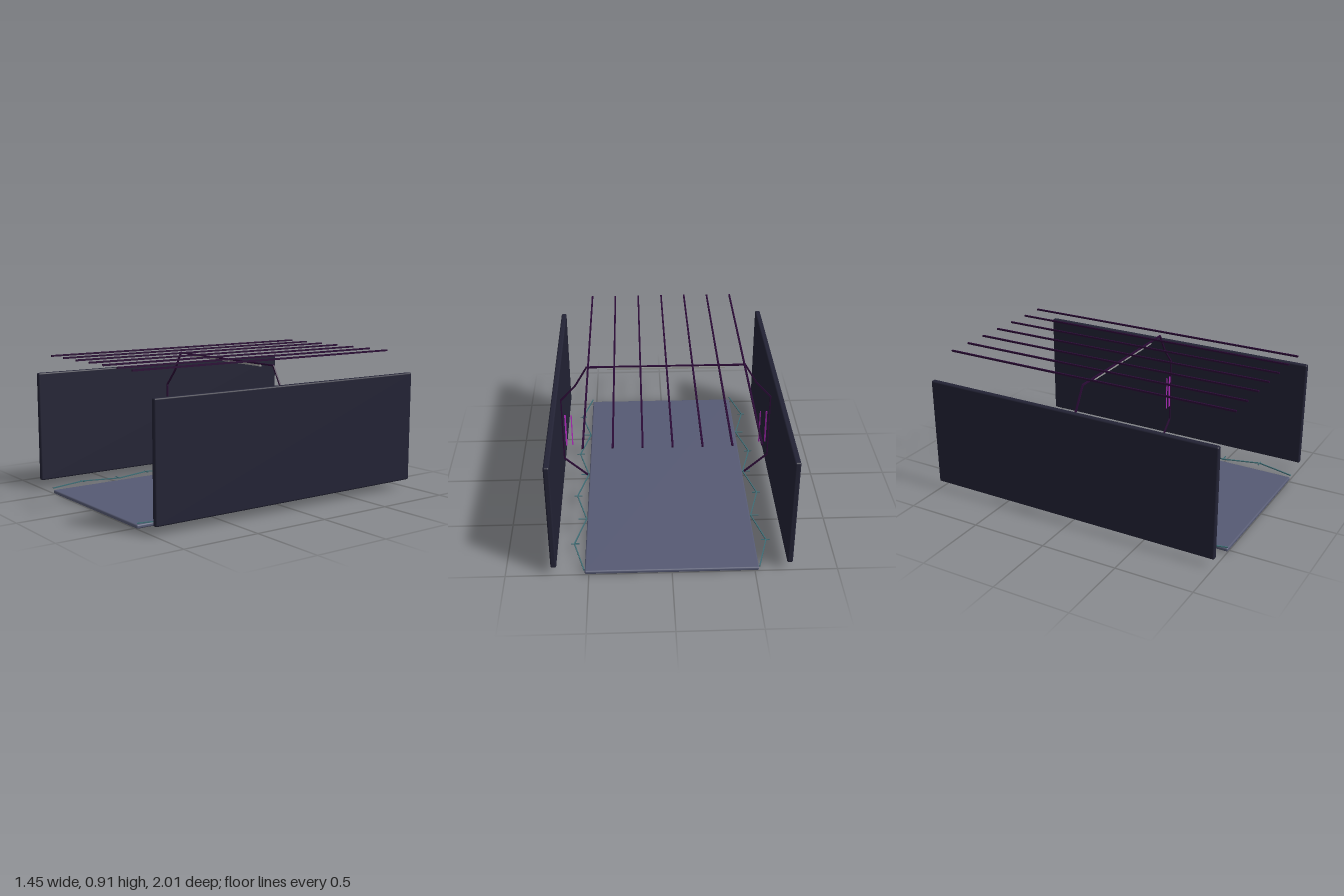
import * as THREE from 'three';
import { RoundedBoxGeometry } from 'three/addons/geometries/RoundedBoxGeometry.js';

const mat = (name, color) => {
  const m = new THREE.MeshStandardMaterial({ color });
  m.name = name;
  return m;
};

export function createModel() {
  const wallMat = mat('dark navy', 0x222234);
  const floorMat = mat('slate', 0x565a73);
  const frameMat = mat('deep purple', 0x2a0a35);
  const stripMat = mat('magenta', 0xa828b4);
  const lampMat = mat('lamp grey', 0x9a9c9a);
  const edgeMat = mat('teal', 0x3f6c74);

  const model = new THREE.Group();
  model.name = 'corridor';

  const add = (parent, name, geometry, material, x = 0, y = 0, z = 0) => {
    const mesh = new THREE.Mesh(geometry, material);
    mesh.name = name;
    mesh.position.set(x, y, z);
    parent.add(mesh);
    return mesh;
  };

  // Square bar running between two points
  const bar = (parent, name, a, b, t, material) => {
    const p = new THREE.Vector3(...a), q = new THREE.Vector3(...b);
    const mesh = add(parent, name, new THREE.BoxGeometry(t, t, p.distanceTo(q) + t * 0.5), material);
    mesh.position.copy(p).lerp(q, 0.5);
    mesh.lookAt(q);
    return mesh;
  };

  // Floor slab and the seven overhead rails
  add(model, 'floor', new RoundedBoxGeometry(1.05, 0.024, 2, 3, 0.009), floorMat, 0, 0.012, 0);
  for (let i = -3; i <= 3; i++)
    add(model, 'ceilingRail', new THREE.BoxGeometry(0.011, 0.011, 2), frameMat, i * 0.1655, 0.905, 0);

  // Frame rib profile, from floor edge to roof corner
  const rib = [[0.53, 0.03], [0.688, 0.175], [0.688, 0.625], [0.588, 0.735], [0.51, 0.868]];

  for (const s of [1, -1]) {
    const side = new THREE.Group();
    side.name = s > 0 ? 'leftSide' : 'rightSide';
    model.add(side);

    add(side, 'wall', new RoundedBoxGeometry(0.035, 0.72, 2, 3, 0.01), wallMat, s * 0.709, 0.415, 0);

    for (let i = 0; i < rib.length - 1; i++)
      bar(side, 'frameRib', [s * rib[i][0], rib[i][1], 0], [s * rib[i + 1][0], rib[i + 1][1], 0], 0.01, frameMat);

    // Three-sided light strips with their ridge facing inward
    for (const [x, r] of [[0.668, 0.007], [0.627, 0.005]])
      add(side, 'lightStrip',
        new THREE.CylinderGeometry(r, r, 0.235, 3, 1, false, -s * Math.PI / 2).toNonIndexed(),
        stripMat, s * x, 0.395, 0).geometry.computeVertexNormals();

    // Zigzag cable along the floor edge with a cross tick at each bend
    const bend = (i) => [s * (i % 2 ? 0.595 : 0.527), 0.036, -1 + i * 0.25];
    for (let i = 0; i < 8; i++) {
      bar(side, 'edgeCable', bend(i), bend(i + 1), 0.007, edgeMat);
      if (i > 0) {
        const x = i % 2 ? 0.59 : 0.553;
        add(side, 'cableTick', new THREE.BoxGeometry(0.052, 0.005, 0.005), edgeMat, s * x, 0.036, -1 + i * 0.25);
      }
    }

    // Lamp slung under the roof beam
    add(model, 'ceilingLamp', new THREE.BoxGeometry(0.37, 0.013, 0.016), lampMat, s * 0.195, 0.858, -0.004);
  }

  bar(model, 'roofBeam', [-0.51, 0.868, 0], [0.51, 0.868, 0], 0.01, frameMat);
  return model;
}
